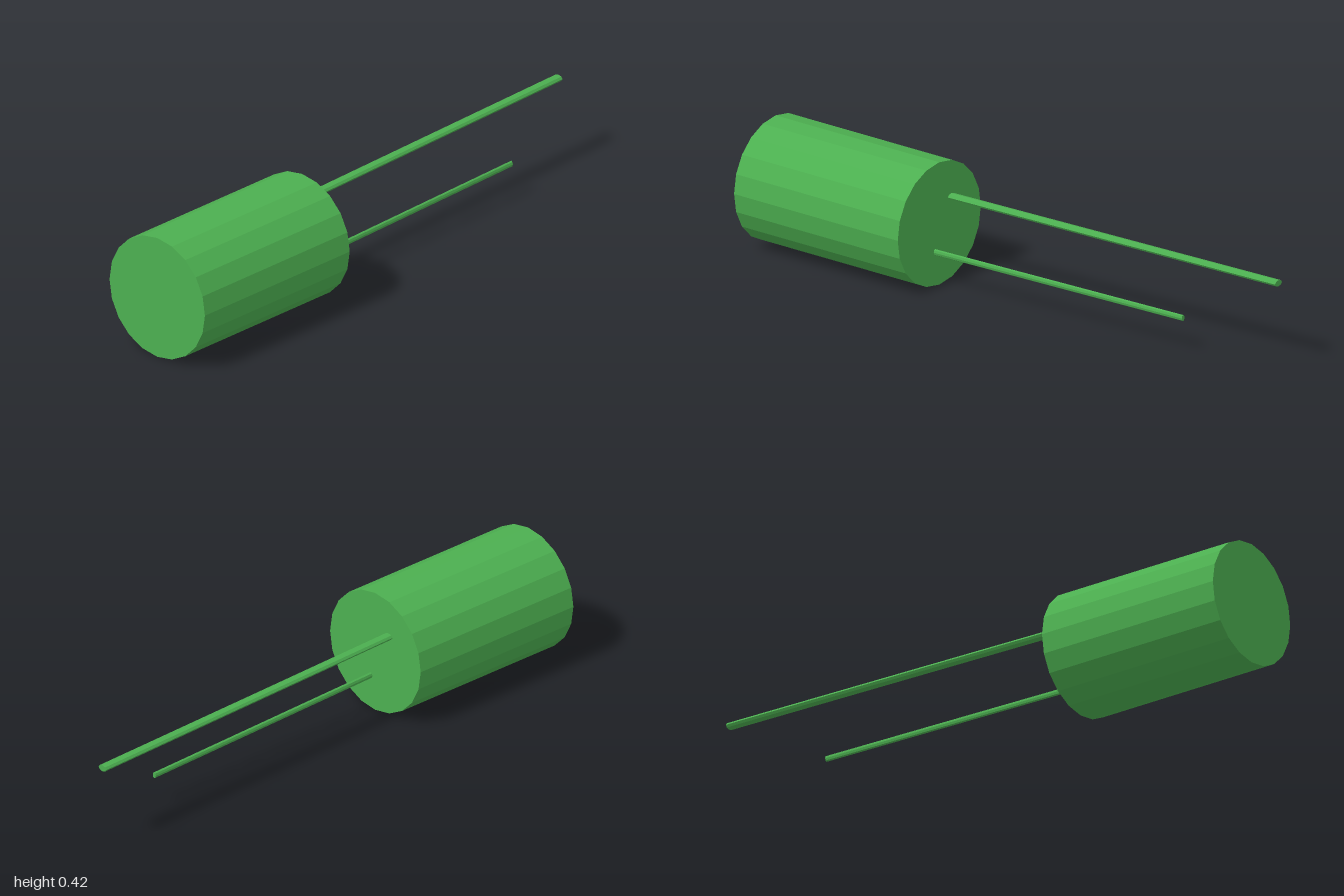
import * as THREE from 'three';

export function createModel() {
  const model = new THREE.Group();
  model.name = 'canWithTwoLeads';
  const material = new THREE.MeshStandardMaterial({ color: 0x4caf50, flatShading: true });

  // Cylinder lying along z, from zFront back to zBack
  const rod = (name, width, height, sides, zFront, zBack) => {
    const geometry = new THREE.CylinderGeometry(0.5, 0.5, zFront - zBack, sides);
    geometry.rotateX(Math.PI / 2);
    geometry.scale(width, height, 1);
    geometry.translate(0, 0, (zFront + zBack) / 2);
    const mesh = new THREE.Mesh(geometry, material);
    mesh.name = name;
    model.add(mesh);
    return mesh;
  };

  // Body
  const bodyBack = 0.32;
  rod('body', 0.418, 0.418, 20, 1, bodyBack).position.y = 0.209;

  // Oval leads, slanted sideways by a shear so that their ends stay square to z
  const lead = (name, width, height, y, xFront, xBack, zBack) => {
    const mesh = rod(name, width, height, 8, bodyBack, zBack);
    const slope = (xFront - xBack) / (bodyBack - zBack);
    const p = mesh.geometry.attributes.position;
    for (let i = 0; i < p.count; i++) {
      p.setX(i, p.getX(i) + xFront + slope * (p.getZ(i) - bodyBack));
    }
    mesh.geometry.computeVertexNormals();
    mesh.position.y = y;
  };
  lead('longLead', 0.035, 0.021, 0.285, -0.061, -0.108, -1);
  lead('shortLead', 0.014, 0.021, 0.117, 0.021, -0.016, -0.68);

  return model;
}
